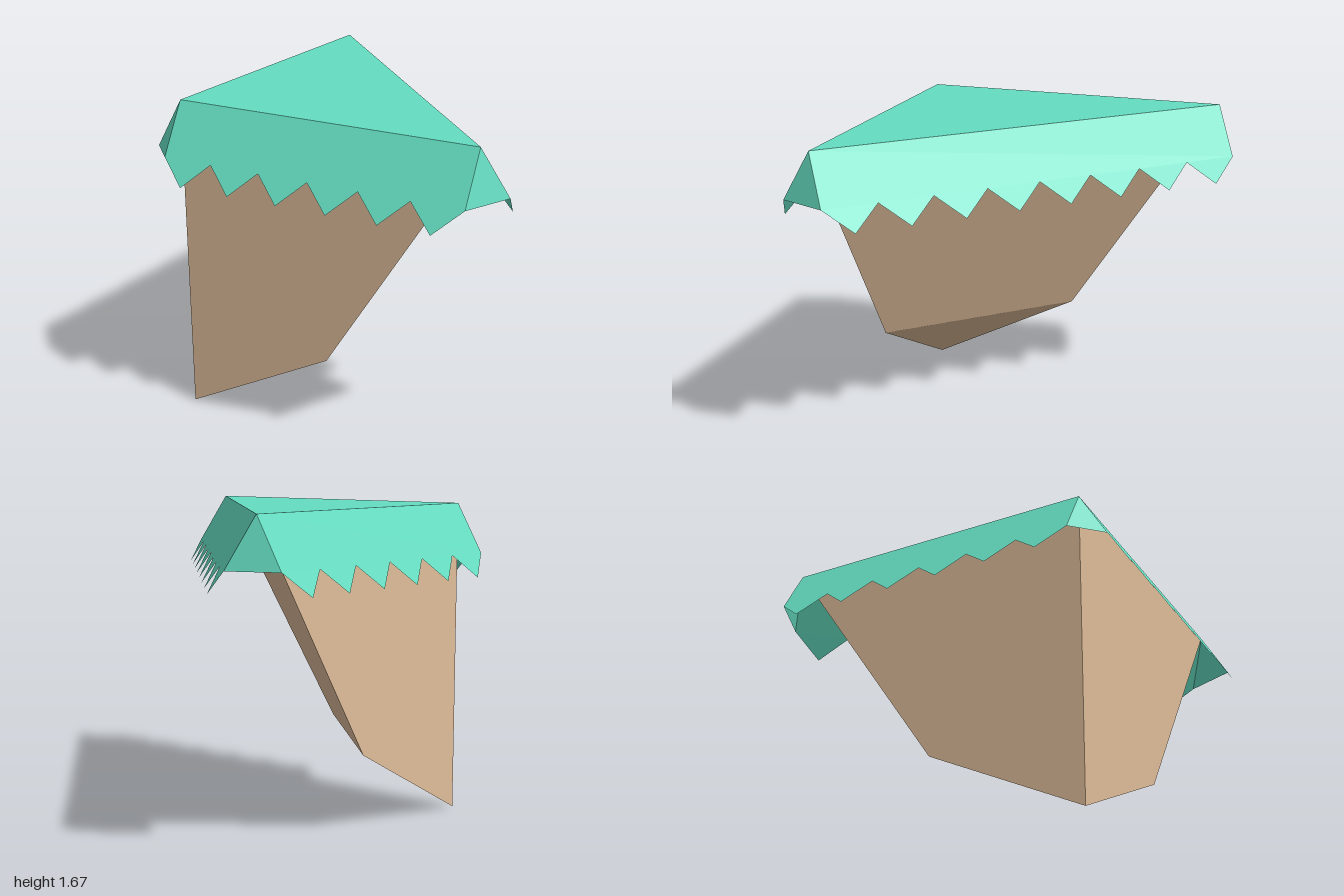
import * as THREE from 'three';

const TOP = 1.67, HEM = 1.41, TIP = 1.29;
const FLARE = 0.15, TIP_FLARE = 0.22;

// Triangular plan, counter-clockwise from above: square corner, front end, back end
const plan = [[-0.78, 0.78], [0.89, 0.78], [-0.78, -0.89]];
const midPlan = [[-0.78, 0.78], [0.055, 0.78], [-0.78, -0.055]];
const teethPerSide = [6, 8, 6];

const at = ([x, z], y) => new THREE.Vector3(x, y, z);

// Flat-shaded mesh from convex polygons, each fanned from its first corner
function faces(name, polygons, material) {
  const points = [];
  for (const p of polygons) {
    for (let i = 1; i < p.length - 1; i++) points.push(p[0], p[i], p[i + 1]);
  }
  const geometry = new THREE.BufferGeometry().setFromPoints(points);
  geometry.computeVertexNormals();
  const mesh = new THREE.Mesh(geometry, material);
  mesh.name = name;
  return mesh;
}

export function createModel() {
  const canvas = new THREE.MeshStandardMaterial({ color: 0x64dcc0, side: THREE.DoubleSide });
  canvas.name = 'teal canvas';
  const wood = new THREE.MeshStandardMaterial({ color: 0xe0bd9a, side: THREE.DoubleSide });
  wood.name = 'tan wall';

  const model = new THREE.Group();
  model.name = 'cornerAwning';

  // Corner body, tapering down to a point under the square corner
  const apex = at(plan[0], 0);
  const walls = [];
  for (let i = 0; i < 3; i++) {
    const j = (i + 1) % 3;
    walls.push([at(plan[i], TOP), at(midPlan[i], 0.42), at(midPlan[j], 0.42), at(plan[j], TOP)]);
    walls.push([at(midPlan[i], 0.42), apex, at(midPlan[j], 0.42)]);
  }
  // Drop the zero-area faces where the lower part shares the apex edge
  const body = walls.filter((p) => new THREE.Triangle(p[0], p[1], p[2]).getArea() > 1e-6);
  model.add(faces('body', body, wood));

  // Flat roof
  model.add(faces('roof', [plan.map((p) => at(p, TOP))], canvas));

  // Flared valance with a zigzag hem on each side
  const up = new THREE.Vector3(0, 1, 0);
  const hemEnds = [];
  for (let i = 0; i < 3; i++) {
    const a = at(plan[i], TOP), b = at(plan[(i + 1) % 3], TOP);
    const out = b.clone().sub(a).cross(up).normalize();
    const hang = (t, y, flare) => a.clone().lerp(b, t).addScaledVector(out, flare).setY(y);
    const start = hang(0, HEM, FLARE), end = hang(1, HEM, FLARE);
    hemEnds.push([start, end]);
    const polygons = [[a, start, end, b]];
    const n = teethPerSide[i];
    for (let k = 0; k < n; k++) {
      polygons.push([
        hang(k / n, HEM, FLARE),
        hang((k + 0.5) / n, TIP, TIP_FLARE),
        hang((k + 1) / n, HEM, FLARE),
      ]);
    }
    model.add(faces(['frontValance', 'diagonalValance', 'sideValance'][i], polygons, canvas));
  }

  // Triangular gussets joining the valances at the corners
  const gussets = plan.map((p, i) => [at(p, TOP), hemEnds[(i + 2) % 3][1], hemEnds[i][0]]);
  model.add(faces('cornerGussets', gussets, canvas));

  return model;
}
